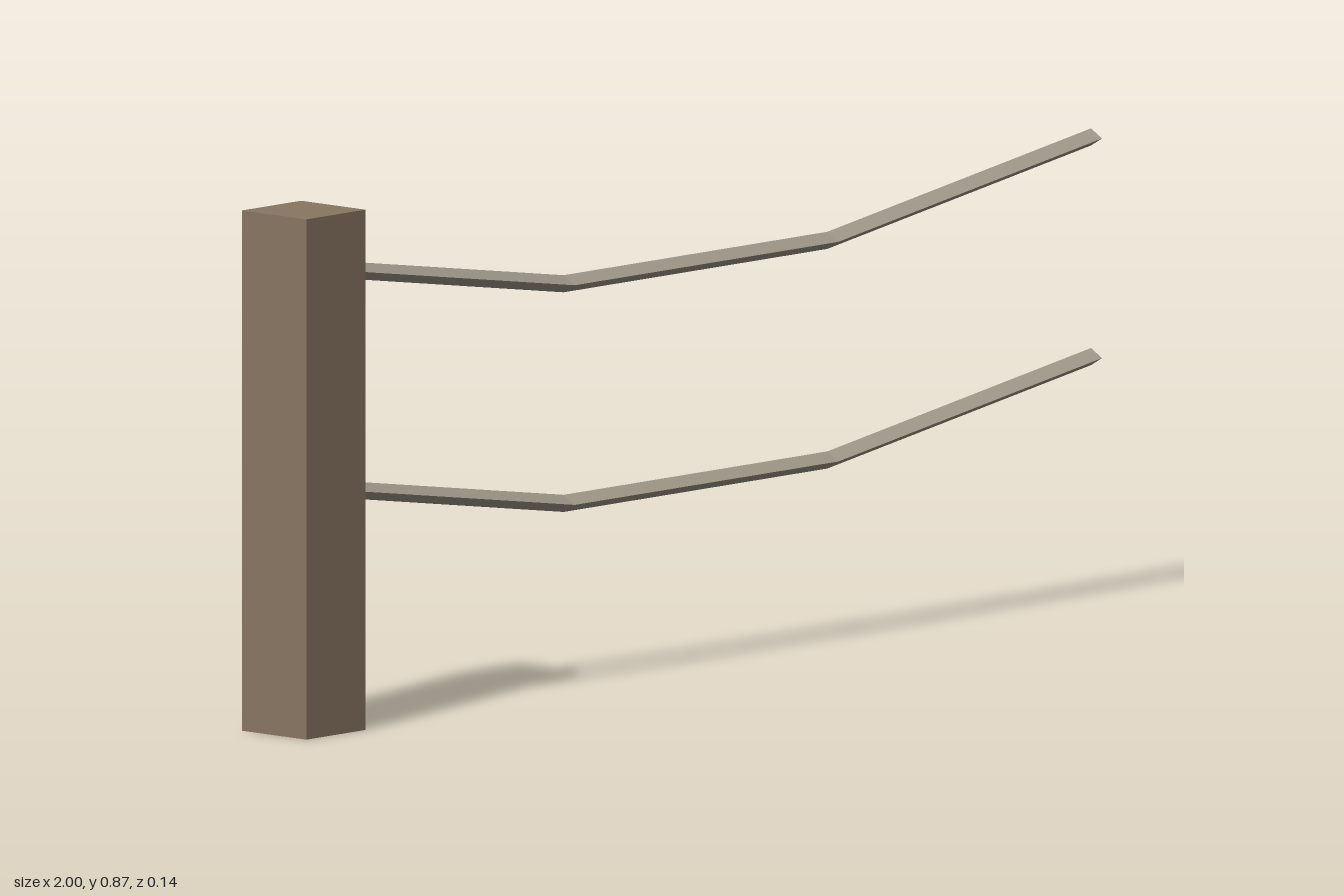
import * as THREE from 'three';

const POST_W = 0.144, POST_H = 0.867;
const ROPE_R = 0.0165, SAG = 0.1;

// Three-sided rope from the post's centre to x = 1, with its middle span hanging lower
function ropeGeometry() {
  const start = -1 + POST_W / 2;
  const length = 1 - start;
  const geo = new THREE.CylinderGeometry(ROPE_R, ROPE_R, length, 3, 3);
  geo.rotateZ(-Math.PI / 2); // ridge stays towards +z
  const pos = geo.attributes.position;
  for (let i = 0; i < pos.count; i++) {
    const inMiddle = Math.abs(pos.getX(i)) < length / 3;
    if (inMiddle) pos.setY(i, pos.getY(i) - SAG);
  }
  geo.translate(start + length / 2, 0, 0);
  const flat = geo.toNonIndexed();
  flat.computeVertexNormals();
  return flat;
}

export function createModel() {
  const wood = new THREE.MeshStandardMaterial({ color: 0x897663, flatShading: true });
  wood.name = 'brown wood';
  const hemp = new THREE.MeshStandardMaterial({ color: 0xa0988a, flatShading: true });
  hemp.name = 'grey rope';

  const model = new THREE.Group();
  model.name = 'ropeFence';

  // Square post
  const post = new THREE.Mesh(new THREE.BoxGeometry(POST_W, POST_H, POST_W), wood);
  post.name = 'post';
  post.position.set(-1 + POST_W / 2, POST_H / 2, 0);
  model.add(post);

  // Two sagging ropes
  const geo = ropeGeometry();
  for (const [name, y] of [['upperRope', 0.771], ['lowerRope', 0.405]]) {
    const rope = new THREE.Mesh(geo, hemp);
    rope.name = name;
    rope.position.y = y;
    model.add(rope);
  }
  return model;
}
